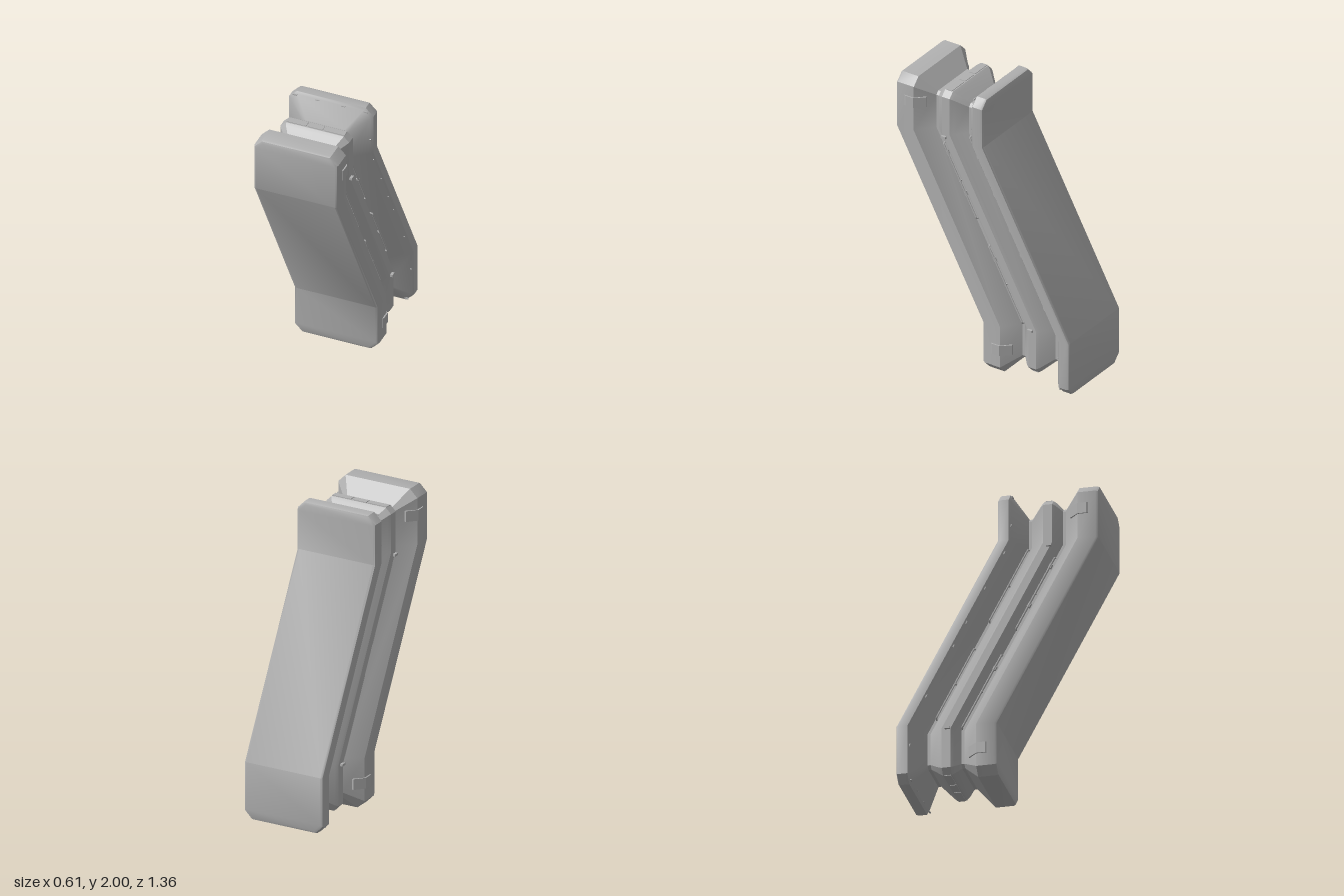
import * as THREE from 'three';
import { toCreasedNormals } from 'three/addons/utils/BufferGeometryUtils.js';

const DEPTH = 0.68, HALF = 0.298;
const grey = new THREE.MeshStandardMaterial({ color: 0xb0b0b0 });
grey.name = 'panel grey';

// Heights of the two bends, at depth t behind the front face
const topKnee = t => 1.61 + 0.05 * t / DEPTH;
const lowKnee = t => 0.35 + 0.05 * t / DEPTH;
// z of a point at height y and depth t: upright, slanted, upright
const zAt = (y, t) => {
  const k = (y - lowKnee(t)) / (topKnee(t) - lowKnee(t));
  return DEPTH * Math.min(1, Math.max(0, k)) - t;
};

// Depth behind the front face, and inset of the outline there
const profile = [
  [0, 0.02], [0.006, 0.006], [0.02, 0], [0.14, 0], [0.245, 0.108], [0.265, 0.108],
  [0.305, 0.068], [0.325, 0.055], [0.385, 0.055], [0.405, 0.07], [0.48, 0.14], [0.5, 0.14],
  [0.588, 0.016], [0.602, 0], [0.66, 0], [0.674, 0.006], [0.68, 0.02],
];

// Chamfered outline with bend points, right side up then left side down
function outline([t, inset]) {
  const w = HALF - inset, top = 2 - inset, c = Math.max(0.022, 0.055 - 0.3 * inset);
  const right = [
    [w - c, inset], [w, inset + c], [w, lowKnee(t)],
    [w, topKnee(t)], [w, top - c], [w - c, top],
  ];
  const left = right.map(([x, y]) => [-x, y]).reverse();
  return [...right, ...left].map(([x, y]) => [x, y, zAt(y, t)]);
}

function bodyGeometry() {
  const rings = profile.map(outline), n = 12, last = rings.length - 1;
  const index = [];
  const quad = (a, b, c, d) => index.push(a, b, c, a, c, d);
  for (let k = 0; k < last; k++) {
    for (let j = 0; j < n; j++) {
      const a = k * n + j, b = k * n + (j + 1) % n;
      quad(a, a + n, b + n, b);
    }
  }
  // Front and back caps
  for (let j = 0; j < 5; j++) {
    quad(j, j + 1, 10 - j, 11 - j);
    const o = last * n;
    quad(o + 11 - j, o + 10 - j, o + j + 1, o + j);
  }
  const g = new THREE.BufferGeometry();
  g.setAttribute('position', new THREE.Float32BufferAttribute(rings.flat(2), 3));
  g.setIndex(index);
  return toCreasedNormals(g, 0.5);
}

export function createModel() {
  const model = new THREE.Group();
  const add = (name, geometry, x = 0, y = 0, z = 0) => {
    const mesh = new THREE.Mesh(geometry, grey);
    mesh.name = name;
    mesh.position.set(x, y, z);
    model.add(mesh);
    return mesh;
  };
  const box = (name, w, h, d, x, y, z) => add(name, new THREE.BoxGeometry(w, h, d), x, y, z);

  add('body', bodyGeometry());

  const slant = Math.atan2(DEPTH, 1.26);
  for (const side of [-1, 1]) {
    // Bent plates wrapping the front flange
    for (const [y, z] of [[1.79, 0], [0.145, -DEPTH]]) {
      const pts = [
        [0.29, 0.61], [0.302, 0.61], [0.307, 0.6], [0.307, 0.54],
        [0.25, 0.477], [0.235, 0.48], [0.29, 0.54],
      ].map(([x, d]) => new THREE.Vector2(side * x, -d));
      const g = new THREE.ExtrudeGeometry(new THREE.Shape(pts), { depth: 0.075, bevelEnabled: false });
      g.rotateX(-Math.PI / 2);
      add('sidePlate', g, 0, y, z);
    }

    // Handrails standing in the two grooves
    const rails = [
      [0.185, 0.265, 1.54, 1.05], [0.185, 0.265, 0.88, 0.38],
      [0.155, 0.49, 1.63, 1.14], [0.155, 0.49, 0.96, 0.48],
    ];
    for (const [x, t, yTop, yLow] of rails) {
      const at = (dx, y) => new THREE.Vector3(side * (x + dx), y, zAt(y, t));
      const path = new THREE.CurvePath();
      const pts = [at(0, yTop), at(0.025, yTop - 0.006), at(0.025, yLow + 0.006), at(0, yLow)];
      for (let i = 0; i < 3; i++) path.add(new THREE.LineCurve3(pts[i], pts[i + 1]));
      add('grooveRail', new THREE.TubeGeometry(path, 48, 0.006, 6));
      const mid = at(0.014, (yTop + yLow) / 2);
      box('railPost', 0.03, 0.01, 0.01, mid.x, mid.y, mid.z);
    }

    // Clips beside the front rail and at the bends of the middle rib
    for (const y of [1.48, 1.215, 0.79]) {
      box('railClip', 0.02, 0.03, 0.02, side * 0.2, y, zAt(y, 0.265)).rotation.x = slant;
    }
    box('ribClip', 0.022, 0.016, 0.035, side * 0.25, 1.612, 0.335);
    box('ribClip', 0.022, 0.016, 0.035, side * 0.25, 0.375, -0.345);

    // Bolts along the inner edge of the back flange
    for (const y of [1.76, 1.57, 1.33, 1.1, 0.94, 0.6, 0.26]) {
      box('flangeBolt', 0.01, 0.022, 0.008, side * 0.283, y, zAt(y, 0.59)).rotation.x = slant;
    }
  }

  // Bolts and cover panels on the top and bottom ends
  for (const x of [-0.25, -0.09, 0.09, 0.25]) {
    box('endBolt', 0.03, 0.008, 0.008, x, 1.978, 0.093);
    box('endBolt', 0.03, 0.008, 0.008, x, 0.022, -0.587);
  }
  for (const x of [-0.135, 0, 0.135]) {
    box('endPanel', x ? 0.14 : 0.1, 0.006, 0.045, x, 1.946, 0.325);
    box('endPanel', x ? 0.14 : 0.1, 0.006, 0.045, x, 0.054, -0.355);
  }
  return model;
}
